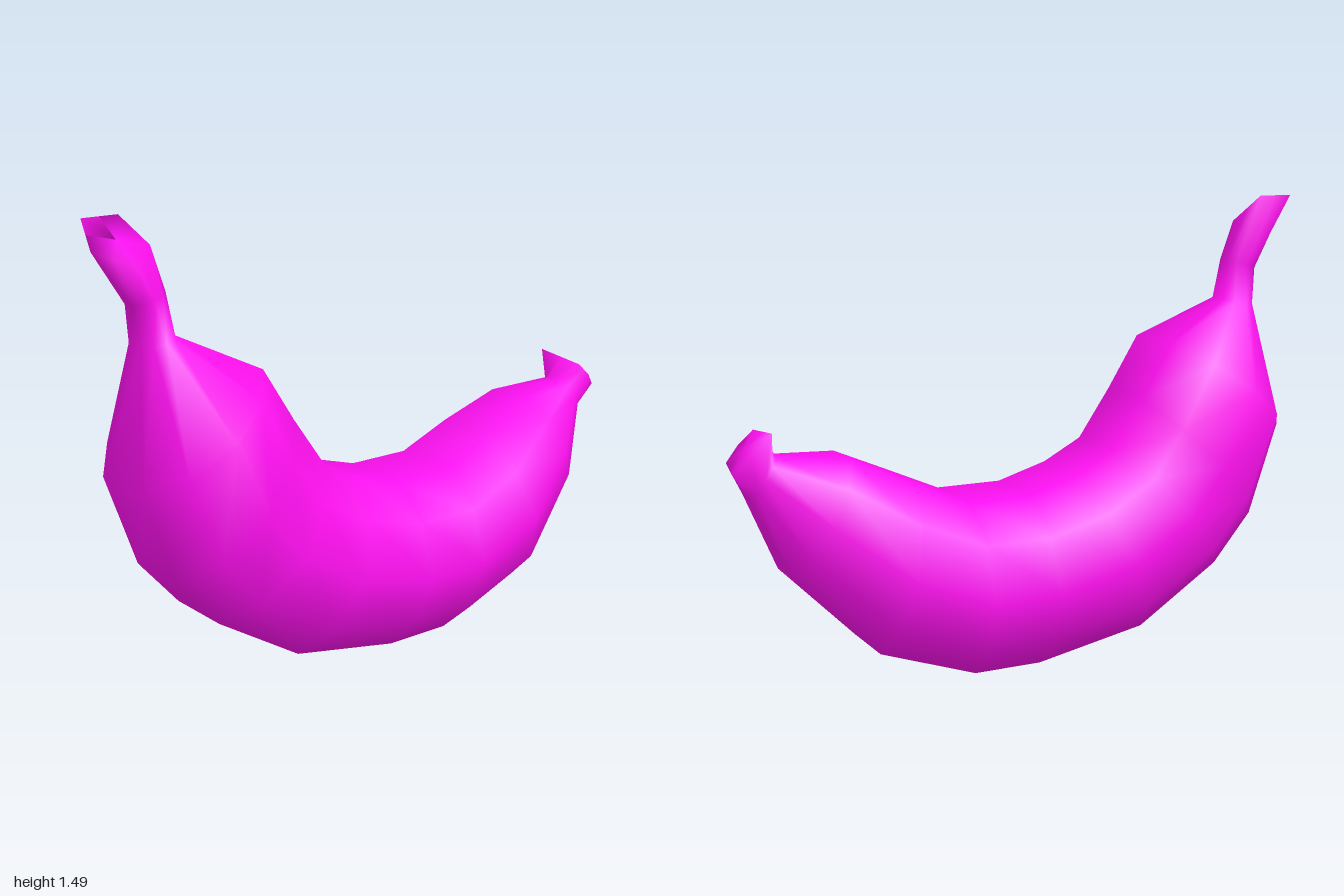
import * as THREE from 'three';

const SIDES = 10;
// Decagon rule: fraction of the way from outer to inner curve, and share of the half-width
const ACROSS = [0, 0.2, 0.5, 0.8, 1, 1, 0.8, 0.5, 0.2, 0];
const SIDE = [0.39, 0.8, 1, 0.8, 0.39, -0.39, -0.8, -1, -0.8, -0.39];

// One body cross-section between an outer and an inner point of the bend
function bodyRing([ox, oy, ix, iy, w]) {
  return ACROSS.map((t, k) => new THREE.Vector3(ox + (ix - ox) * t, oy + (iy - oy) * t, w * SIDE[k]));
}

// Five-cornered cut end, with edge midpoints so it joins the ten-sided rings
function endRing(corners) {
  const pts = corners.map((c) => new THREE.Vector3(...c));
  return pts.flatMap((p, i) => [p, p.clone().lerp(pts[(i + 1) % 5], 0.5)]);
}

// Skin through the rings, closed by a fan at both ends
function loft(rings) {
  const pos = [], index = [];
  rings.flat().forEach((p) => pos.push(p.x, p.y, p.z));
  for (let i = 0; i < rings.length - 1; i++) {
    for (let k = 0; k < SIDES; k++) {
      const n = (k + 1) % SIDES;
      const a = i * SIDES + k, b = i * SIDES + n;
      index.push(a, a + SIDES, b, b, a + SIDES, b + SIDES);
    }
  }
  [0, rings.length - 1].forEach((r) => {
    const mid = new THREE.Vector3();
    rings[r].forEach((p) => mid.addScaledVector(p, 1 / SIDES));
    const c = pos.length / 3;
    pos.push(mid.x, mid.y, mid.z);
    for (let k = 0; k < SIDES; k++) {
      const a = r * SIDES + k, b = r * SIDES + ((k + 1) % SIDES);
      if (r === 0) index.push(c, a, b);
      else index.push(c, b, a);
    }
  });
  const geo = new THREE.BufferGeometry();
  geo.setAttribute('position', new THREE.Float32BufferAttribute(pos, 3));
  geo.setIndex(index);
  geo.computeVertexNormals();
  return geo;
}

export function createModel() {
  const group = new THREE.Group();
  group.name = 'banana';

  // Slanted cut at the top of the stem
  const stemEnd = endRing([
    [-1, 1.415, 0.05], [-0.88, 1.36, 0.098], [-0.77, 1.4, -0.02], [-0.83, 1.485, -0.09], [-0.95, 1.485, -0.09],
  ]);

  // Outer x, outer y, inner x, inner y, half-width: from the stem to the blossom end
  const body = [
    [-0.86, 1.24, -0.75, 1.27, 0.055],
    [-0.845, 1.12, -0.73, 1.14, 0.085],
    [-0.905, 0.71, -0.48, 1.015, 0.29],
    [-0.8, 0.41, -0.37, 0.84, 0.29],
    [-0.66, 0.25, -0.26, 0.68, 0.295],
    [-0.37, 0.07, -0.13, 0.61, 0.305],
    [0.01, 0, 0.04, 0.56, 0.31],
    [0.24, 0, 0.26, 0.56, 0.31],
    [0.56, 0.11, 0.44, 0.64, 0.29],
    [0.82, 0.37, 0.63, 0.725, 0.2],
    [0.94, 0.63, 0.85, 0.745, 0.07],
  ].map(bodyRing);

  // Flared blossom end
  const tipEnd = endRing([
    [0.975, 0.72, 0.07], [0.93, 0.765, 0.095], [0.88, 0.81, 0.095], [0.88, 0.83, -0.09], [0.995, 0.71, -0.06],
  ]);

  const peel = new THREE.Mesh(
    loft([stemEnd, ...body, tipEnd]),
    new THREE.MeshStandardMaterial({ color: 0xff10f0 })
  );
  peel.name = 'peel';
  group.add(peel);
  return group;
}
